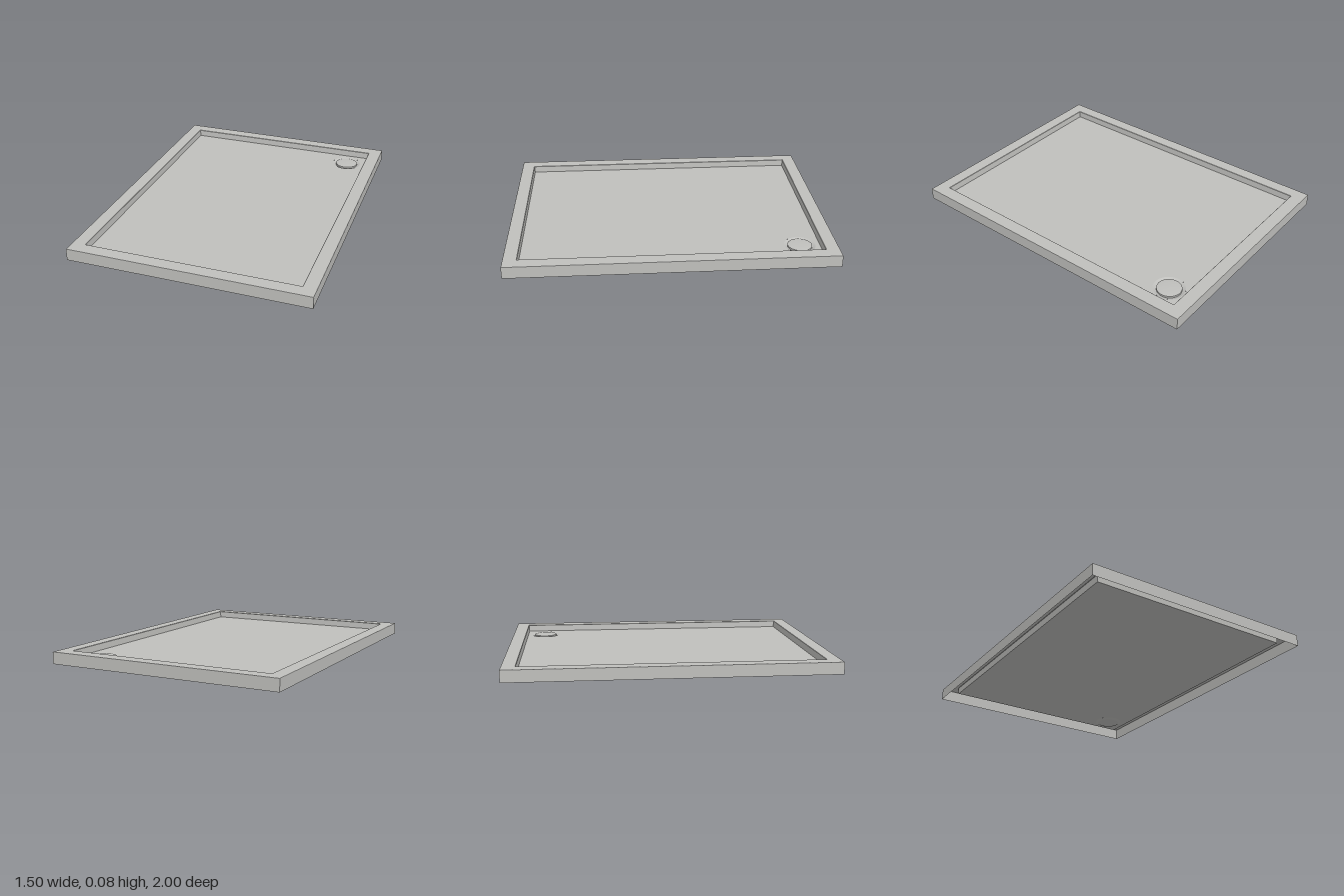
import * as THREE from 'three';

const enamel = new THREE.MeshStandardMaterial({ color: 0xc0c0bd, side: THREE.DoubleSide });
enamel.name = 'greyEnamel';

const DRAIN = { x: 0.53, z: -0.79 };
const FLOOR_Y = 0.032;

// Rectangular loops [halfWidth, halfDepth, y] joined into flat-faced bands
function rectBands(loops) {
  const corners = [[-1, 1], [1, 1], [1, -1], [-1, -1]];
  const pos = [];
  for (let i = 0; i < loops.length - 1; i++) {
    for (let k = 0; k < 4; k++) {
      const at = (loop, c) => [loop[0] * c[0], loop[2], loop[1] * c[1]];
      const c0 = corners[k], c1 = corners[(k + 1) % 4];
      const a = at(loops[i], c0), b = at(loops[i], c1);
      const c = at(loops[i + 1], c1), d = at(loops[i + 1], c0);
      pos.push(...a, ...b, ...c, ...a, ...c, ...d);
    }
  }
  const g = new THREE.BufferGeometry();
  g.setAttribute('position', new THREE.Float32BufferAttribute(pos, 3));
  g.computeVertexNormals();
  return g;
}

function add(group, name, geometry) {
  const mesh = new THREE.Mesh(geometry, enamel);
  mesh.name = name;
  group.add(mesh);
  return mesh;
}

function lathe(points) {
  return new THREE.LatheGeometry(points.map(([r, y]) => new THREE.Vector2(r, y)), 48);
}

export function createModel() {
  const tray = new THREE.Group();
  tray.name = 'showerTray';

  // Outer skirt, open underneath, with a softened top edge
  add(tray, 'outerSkirt', rectBands([
    [0.75, 1, 0], [0.75, 1, 0.072], [0.749, 0.999, 0.0742], [0.747, 0.997, 0.075],
  ]));

  // Flat rim and the step down to the floor
  add(tray, 'rim', rectBands([[0.747, 0.997, 0.075], [0.668, 0.918, 0.075]]));
  add(tray, 'innerStep', rectBands([
    [0.668, 0.918, 0.075], [0.666, 0.916, 0.073], [0.663, 0.913, FLOOR_Y],
  ]));

  // Floor with an opening for the drain
  const floor = new THREE.Shape();
  floor.moveTo(-0.663, -0.913).lineTo(0.663, -0.913).lineTo(0.663, 0.913).lineTo(-0.663, 0.913);
  floor.closePath();
  const hole = new THREE.Path();
  hole.absarc(DRAIN.x, -DRAIN.z, 0.097, 0, Math.PI * 2, true);
  floor.holes.push(hole);
  const floorGeo = new THREE.ShapeGeometry(floor, 48);
  floorGeo.rotateX(-Math.PI / 2);
  add(tray, 'floor', floorGeo).position.y = FLOOR_Y;

  // Shallow dish around the drain
  const dish = add(tray, 'drainDish', lathe([
    [0, 0.022], [0.074, 0.022], [0.08, 0.024], [0.09, 0.03], [0.097, FLOOR_Y],
  ]));
  dish.position.set(DRAIN.x, 0, DRAIN.z);

  // Slightly domed drain cover
  const cover = new THREE.Group();
  cover.name = 'drainCover';
  add(cover, 'coverEdge', lathe([[0.075, 0.022], [0.075, 0.034]]));
  add(cover, 'coverTop', lathe([[0.075, 0.034], [0.06, 0.036], [0.035, 0.0375], [0, 0.038]]));
  cover.position.set(DRAIN.x, 0, DRAIN.z);
  tray.add(cover);

  return tray;
}
